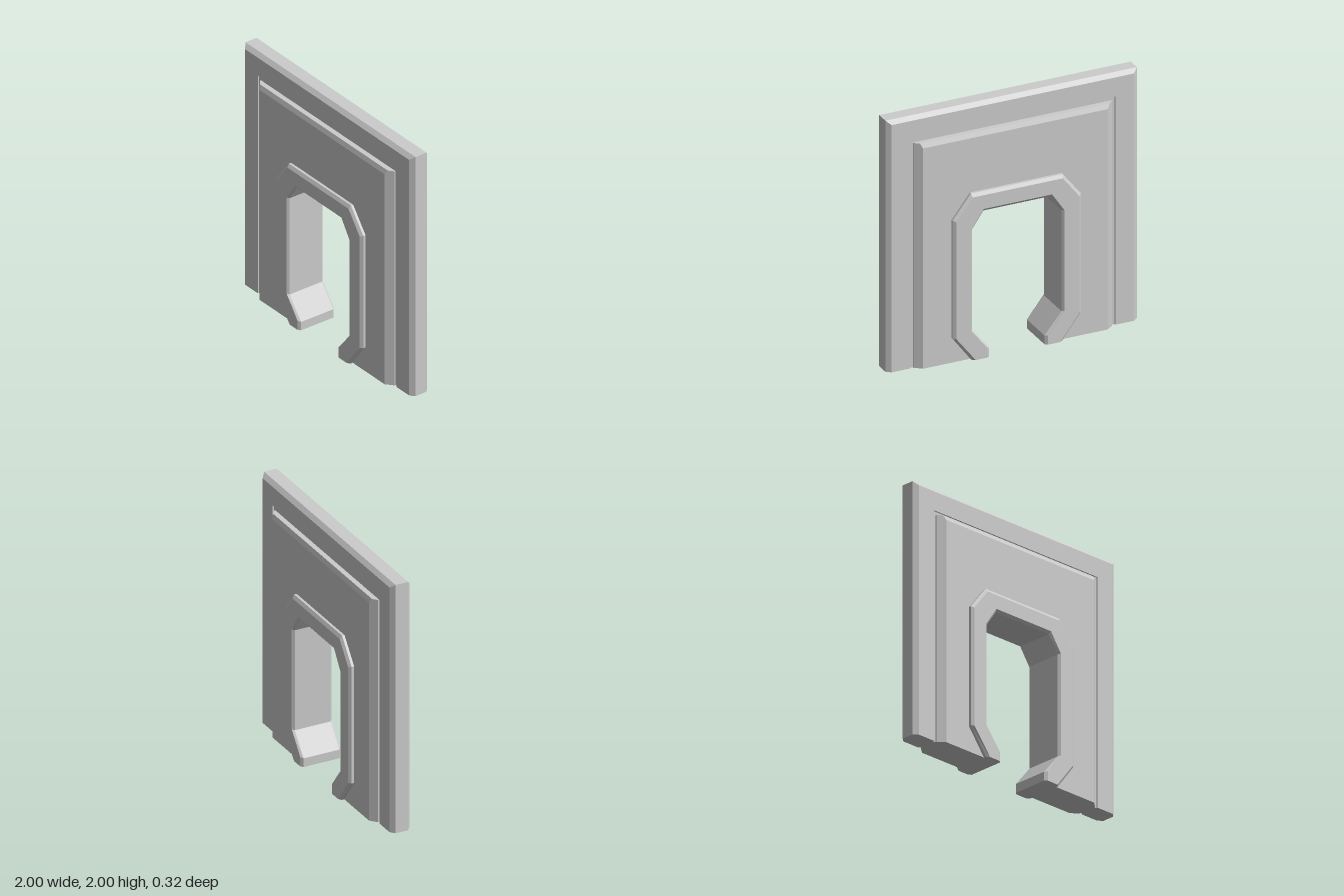
import * as THREE from 'three';

// Full left-right symmetric path from its +x half, listed from the ground up
const mirror = (half) => [...half, ...half.map(([x, y]) => [-x, y]).reverse()];

// Closed counter-clockwise arch outline: outer path plus the opening walked back
const arch = (outer, opening) => [...mirror(outer), ...mirror(opening).reverse()];

// Solid made of matching outlines stacked along z, capped at both ends
function stack(name, layers, material) {
  const pos = [];
  const put = (layer, i) => pos.push(...layer.outline[i], layer.z);
  const n = layers[0].outline.length;
  for (let k = 0; k + 1 < layers.length; k++) {
    const a = layers[k], b = layers[k + 1];
    for (let i = 0; i < n; i++) {
      const j = (i + 1) % n;
      put(a, i); put(a, j); put(b, j);
      put(a, i); put(b, j); put(b, i);
    }
  }
  const cap = (layer, front) => {
    const pts = layer.outline.map(([x, y]) => new THREE.Vector2(x, y));
    for (const [a, b, c] of THREE.ShapeUtils.triangulateShape(pts, [])) {
      const ccw = THREE.ShapeUtils.area([pts[a], pts[b], pts[c]]) > 0;
      (ccw === front ? [a, b, c] : [a, c, b]).forEach((i) => put(layer, i));
    }
  };
  cap(layers[0], false);
  cap(layers[layers.length - 1], true);
  const geometry = new THREE.BufferGeometry();
  geometry.setAttribute('position', new THREE.Float32BufferAttribute(pos, 3));
  geometry.computeVertexNormals();
  const mesh = new THREE.Mesh(geometry, material);
  mesh.name = name;
  return mesh;
}

export function createModel() {
  const stone = new THREE.MeshStandardMaterial({ color: 0xcccccc });
  stone.name = 'grey stone';
  const model = new THREE.Group();
  model.name = 'doorwayWall';

  const box = (x, y) => [[x, 0], [x, y]];
  const opening = [[0.22, 0], [0.22, 0.07], [0.355, 0.235], [0.355, 1.04], [0.265, 1.17]];
  const openingWide = [[0.24, 0], [0.24, 0.075], [0.37, 0.24], [0.37, 1.045], [0.272, 1.19]];
  const recess = box(0.815, 1.82);

  // Bevelled outer border and the core wall set slightly back inside it
  const borderEdge = arch(box(1, 2), recess);
  const borderFace = arch(box(0.965, 1.97), recess);
  model.add(stack('outerBorder', [
    { z: -0.08, outline: borderFace },
    { z: -0.05, outline: borderEdge },
    { z: 0.05, outline: borderEdge },
    { z: 0.08, outline: borderFace },
  ], stone));
  const core = arch(recess, opening);
  model.add(stack('coreWall', [{ z: -0.07, outline: core }, { z: 0.07, outline: core }], stone));

  // Raised panel and door surround, the same on both sides
  const surround = [[0.36, 0], [0.51, 0.2], [0.51, 1.14], [0.365, 1.325]];
  const surroundFace = [[0.335, 0], [0.49, 0.2], [0.49, 1.13], [0.358, 1.3]];
  for (const side of ['front', 'back']) {
    const face = new THREE.Group();
    face.name = side + 'Face';
    face.add(stack('raisedPanel', [
      { z: 0.07, outline: arch(box(0.79, 1.79), opening) },
      { z: 0.08, outline: arch(box(0.79, 1.79), opening) },
      { z: 0.11, outline: arch(box(0.753, 1.79), opening) },
      { z: 0.125, outline: arch(box(0.735, 1.755), opening) },
    ], stone));
    face.add(stack('doorSurround', [
      { z: 0.125, outline: arch(surround, opening) },
      { z: 0.145, outline: arch(surround, opening) },
      { z: 0.162, outline: arch(surroundFace, openingWide) },
    ], stone));
    if (side === 'back') face.rotation.y = Math.PI;
    model.add(face);
  }
  return model;
}
